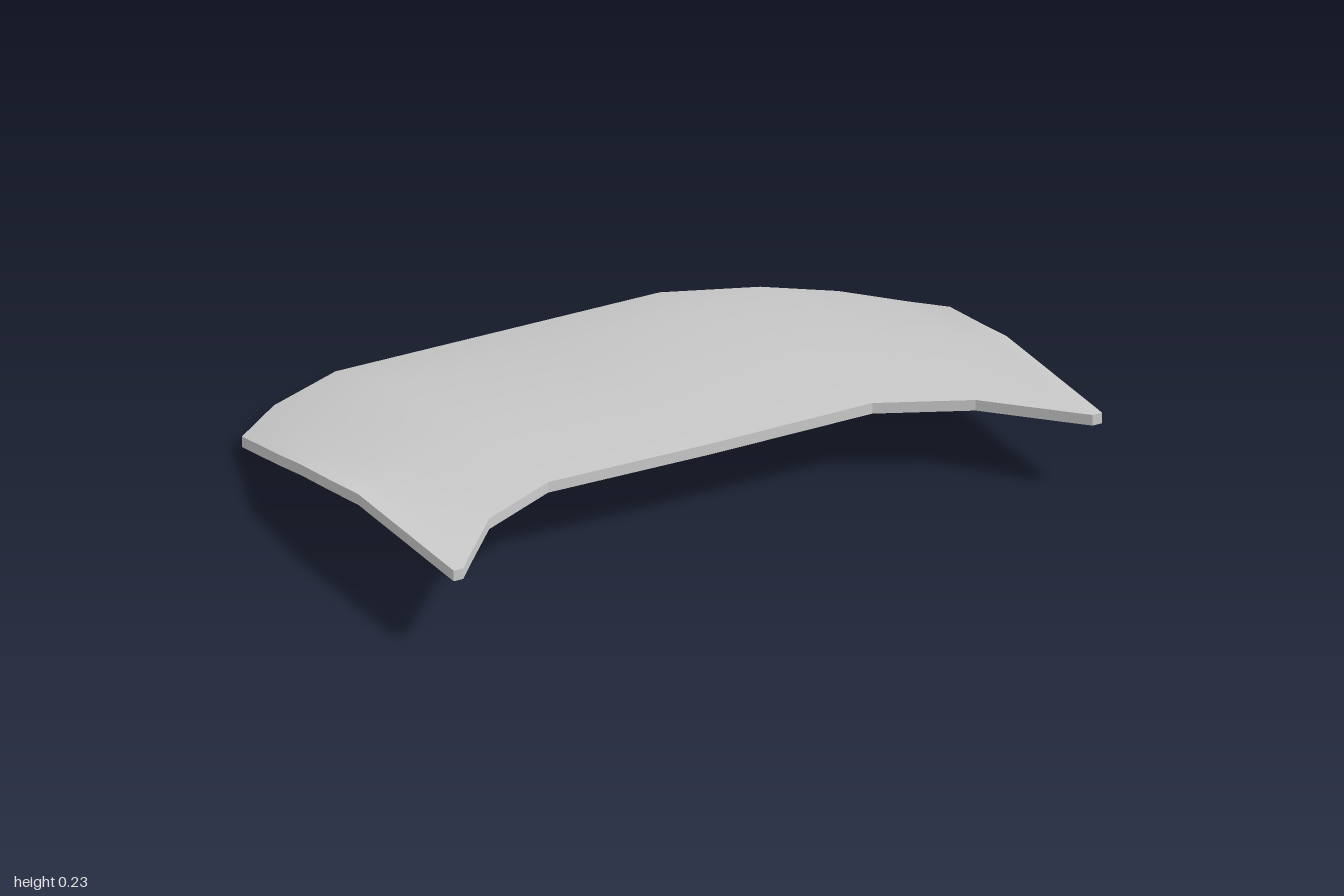
import * as THREE from 'three';

// Half-panel stations: x, then [z, top height] from the front edge to the rear edge
const HALF = [
  [0, [[0.412, 0.225], [0, 0.2], [-0.48, 0.135], [-0.79, 0.04]]],
  [0.5, [[0.405, 0.225], [0, 0.2], [-0.48, 0.133], [-0.79, 0.04]]],
  [0.75, [[0.53, 0.229], [0.1, 0.208], [-0.38, 0.125], [-0.68, 0.045]]],
  [0.92, [[0.725, 0.238], [0.18, 0.22], [-0.25, 0.14], [-0.55, 0.048]]],
  [0.97, [[0.785, 0.242], [0.23, 0.236], [-0.05, 0.19], [-0.25, 0.135]]],
  [1, [[0.785, 0.242], [0.25, 0.24], [0.09, 0.214], [-0.07, 0.19]]],
];
const THICKNESS = 0.032;
const ROWS = 4;

function createModel() {
  const group = new THREE.Group();
  group.name = 'curvedPanel';
  const material = new THREE.MeshStandardMaterial({ color: 0xcccccc });

  // Mirror the half into full-width columns
  const mirrored = HALF.slice(1).reverse().map(([x, rows]) => [-x, rows]);
  const columns = [...mirrored, ...HALF];
  const point = (i, j, drop) => {
    const [x, rows] = columns[i];
    return [x, rows[j][1] - drop, rows[j][0]];
  };

  function addMesh(name, positions, indices, flat) {
    let geometry = new THREE.BufferGeometry();
    geometry.setAttribute('position', new THREE.Float32BufferAttribute(positions, 3));
    geometry.setIndex(indices);
    if (flat) geometry = geometry.toNonIndexed();
    geometry.computeVertexNormals();
    const mesh = new THREE.Mesh(geometry, material);
    mesh.name = name;
    group.add(mesh);
  }

  // Smooth top skin and underside
  function addSkin(name, drop, up) {
    const positions = [], indices = [];
    columns.forEach((_, i) => {
      for (let j = 0; j < ROWS; j++) positions.push(...point(i, j, drop));
    });
    for (let i = 0; i < columns.length - 1; i++) {
      for (let j = 0; j < ROWS - 1; j++) {
        const a = i * ROWS + j, b = a + ROWS, c = b + 1, d = a + 1;
        // Mirror the diagonals with the halves
        const tris = columns[i][0] >= 0 ? [a, b, c, a, c, d] : [a, b, d, b, c, d];
        indices.push(...(up ? tris : tris.reverse()));
      }
    }
    addMesh(name, positions, indices, false);
  }
  addSkin('topSkin', 0, true);
  addSkin('underside', THICKNESS, false);

  // Rim around the outline
  const last = columns.length - 1, loop = [];
  for (let i = 0; i < last; i++) loop.push([i, 0]);
  for (let j = 0; j < ROWS - 1; j++) loop.push([last, j]);
  for (let i = last; i > 0; i--) loop.push([i, ROWS - 1]);
  for (let j = ROWS - 1; j > 0; j--) loop.push([0, j]);
  const positions = [], indices = [];
  loop.forEach(([i, j], k) => {
    positions.push(...point(i, j, THICKNESS), ...point(i, j, 0));
    const a = 2 * k, b = 2 * ((k + 1) % loop.length);
    indices.push(a, b, b + 1, a, b + 1, a + 1);
  });
  addMesh('rim', positions, indices, true);

  return group;
}

export { createModel };
